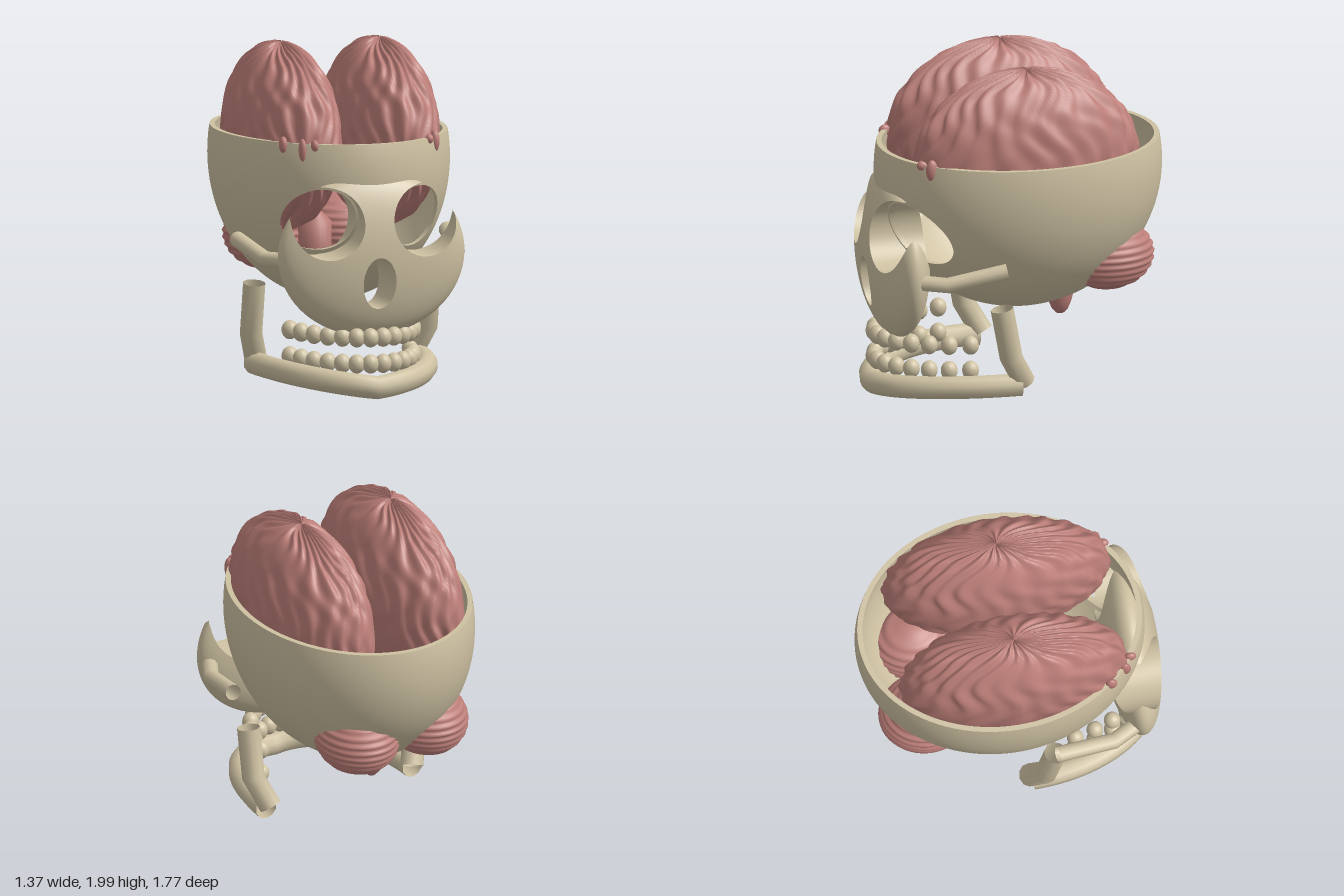
import * as THREE from 'three';

const bone = new THREE.MeshStandardMaterial({ color: 0xcfc2a3, side: THREE.DoubleSide });
bone.name = 'bone';
const flesh = new THREE.MeshStandardMaterial({ color: 0xbd7f79 });
flesh.name = 'brain pink';

const CRANIUM = { c: [0, 1.33, -0.05], r: [0.68, 0.84, 0.84] };
const CRANIUM_IN = { c: CRANIUM.c, r: CRANIUM.r.map((v) => v - 0.03) };
const FACE = { c: [0, 0.845, 0.7], r: [0.565, 0.477, 0.17] };
const CUT_Y = 1.49;

function mesh(geometry, material, name) {
  const m = new THREE.Mesh(geometry, material);
  m.name = name;
  return m;
}

function build(positions, index) {
  const g = new THREE.BufferGeometry();
  g.setAttribute('position', new THREE.Float32BufferAttribute(positions, 3));
  g.setIndex(index);
  g.computeVertexNormals();
  return g;
}

// Pull a point back inside the outline of an ellipsoid, then find its depth
function clampXY({ c, r }, x, y) {
  const k = Math.hypot((x - c[0]) / r[0], (y - c[1]) / r[1]);
  return k > 1 ? [c[0] + (x - c[0]) / k, c[1] + (y - c[1]) / k, 1] : [x, y, k];
}
const depth = ({ r }, k) => r[2] * Math.sqrt(Math.max(0, 1 - k * k));

// Ellipsoid with elliptical holes bored along z; vertices in a hole snap to its rim
function boredEllipsoid(body, { axis = 'y', from = 0, holes, through, inward = false, nu = 128, nv = 72 }) {
  const { c, r } = body, pos = [], marked = [], index = [];
  for (let j = 0; j <= nv; j++) {
    const t = from + (Math.PI - from) * j / nv;
    for (let i = 0; i < nu; i++) {
      const a = i / nu * Math.PI * 2, s = Math.sin(t);
      const d = axis === 'y' ? [s * Math.cos(a), Math.cos(t), s * Math.sin(a)]
        : [s * Math.cos(a), s * Math.sin(a), Math.cos(t)];
      let [x, y, z] = d.map((v, k) => c[k] + v * r[k]);
      let hit = false;
      for (const h of holes) {
        if (!through && d[2] < 0) continue;
        for (let n = 0; n < 8; n++) {
          const e = Math.hypot((x - h.x) / h.rx, (y - h.y) / h.ry);
          if (e >= 0.9999 || e < 1e-6) break;
          hit = true;
          const p = clampXY(body, h.x + (x - h.x) / e, h.y + (y - h.y) / e);
          x = p[0]; y = p[1];
          z = c[2] + Math.sign(d[2]) * depth(body, p[2]);
        }
      }
      pos.push(x, y, z);
      marked.push(hit);
    }
  }
  const P = (i) => new THREE.Vector3().fromArray(pos, i * 3);
  const centre = new THREE.Vector3(...c);
  const tri = (p, q, s) => {
    if (marked[p] && marked[q] && marked[s]) return;
    const A = P(p), n = P(q).sub(A).cross(P(s).sub(A));
    if (n.lengthSq() < 1e-16) return;
    if ((n.dot(A.sub(centre)) < 0) !== inward) index.push(p, s, q);
    else index.push(p, q, s);
  };
  for (let j = 0; j < nv; j++) for (let i = 0; i < nu; i++) {
    const a = j * nu + i, b = j * nu + (i + 1) % nu;
    tri(a, b, a + nu);
    tri(b, b + nu, a + nu);
  }
  return build(pos, index);
}

// Closed band between two loops
function band(loop, n = 96) {
  const pos = [], index = [];
  for (let i = 0; i < n; i++) {
    const [a, b] = loop(i / n * Math.PI * 2);
    pos.push(...a, ...b);
    const p = 2 * i, q = 2 * ((i + 1) % n);
    index.push(p, q, p + 1, q, q + 1, p + 1);
  }
  return build(pos, index);
}

// Side wall of a bored hole from one surface to another
function holeWall(h, front, back, backSign) {
  return band((a) => {
    const [x, y, k] = clampXY(front, h.x + h.rx * Math.cos(a), h.y + h.ry * Math.sin(a));
    const kb = clampXY(back, x, y)[2];
    return [[x, y, front.c[2] + depth(front, k)], [x, y, back.c[2] + backSign * depth(back, kb)]];
  });
}

// Straight-sided path with mitred corners
class Polyline extends THREE.Curve {
  constructor(points) { super(); this.points = points.map((p) => new THREE.Vector3(...p)); }
  getPoint(t) {
    const f = THREE.MathUtils.clamp(t, 0, 1) * (this.points.length - 1);
    const i = Math.min(Math.floor(f), this.points.length - 2);
    return this.points[i].clone().lerp(this.points[i + 1], f - i);
  }
  getPointAt(t) { return this.getPoint(t); }
  getTangentAt(t) { return this.getTangent(t); }
}
const tube = (points, radius) => new THREE.TubeGeometry(new Polyline(points), points.length - 1, radius, 10);

// Ball stretched to radii, each vertex scaled by a rule
function foldedBall(r, nu, nv, rule) {
  const g = new THREE.SphereGeometry(1, nu, nv), p = g.attributes.position, v = new THREE.Vector3();
  for (let i = 0; i < p.count; i++) {
    v.fromBufferAttribute(p, i);
    const k = rule(Math.atan2(v.z, v.x), Math.acos(THREE.MathUtils.clamp(v.y, -1, 1)), v);
    p.setXYZ(i, v.x * r[0] * k, v.y * r[1] * k, v.z * r[2] * k);
  }
  g.computeVertexNormals();
  return g;
}

export function createModel() {
  const model = new THREE.Group();
  const add = (g, m, name, at = [0, 0, 0]) => {
    const o = mesh(g, m, name);
    o.position.set(...at);
    model.add(o);
    return o;
  };

  // Open cranium bowl: outer and inner skin, rim, eye openings
  const eyes = [-1, 1].map((s) => ({ x: 0.29 * s, y: 1.045, rx: 0.185, ry: 0.185 }));
  const cutAngle = (b) => Math.acos((CUT_Y - b.c[1]) / b.r[1]);
  add(boredEllipsoid(CRANIUM, { from: cutAngle(CRANIUM), holes: eyes }), bone, 'craniumOuter');
  add(boredEllipsoid(CRANIUM_IN, { from: cutAngle(CRANIUM_IN), holes: eyes, inward: true }), bone, 'craniumInner');
  add(band((a) => [CRANIUM_IN, CRANIUM].map((b) => {
    const s = Math.sin(cutAngle(b));
    return [s * b.r[0] * Math.cos(a), CUT_Y, b.c[2] + s * b.r[2] * Math.sin(a)];
  })), bone, 'craniumRim');
  eyes.forEach((h) => add(holeWall(h, CRANIUM, CRANIUM_IN, 1), bone, 'craniumEyeWall'));

  // Face plate with eye sockets and nose opening
  const sockets = [-1, 1].map((s) => ({ x: 0.295 * s, y: 1.04, rx: 0.206, ry: 0.206 }));
  const faceHoles = [...sockets, { x: 0, y: 0.69, rx: 0.1, ry: 0.15 }];
  add(boredEllipsoid(FACE, { axis: 'z', holes: faceHoles, through: true, nu: 144, nv: 90 }), bone, 'face');
  faceHoles.forEach((h) => add(holeWall(h, FACE, FACE, -1), bone, 'faceHoleWall'));

  // Cheekbones and jaw branches
  for (const s of [-1, 1]) {
    add(tube([[0.49 * s, 0.82, 0.7], [0.585 * s, 0.815, 0.52], [0.64 * s, 0.89, 0.18]], 0.047), bone, 'cheekbone');
    add(tube([[0.535 * s, 0.63, 0.185], [0.535 * s, 0.33, 0.13], [0.475 * s, 0.165, 0.04]], 0.067), bone, 'jawBranch');
  }

  // Curved lower jaw
  const arch = [];
  for (let i = 0; i <= 32; i++) {
    const a = (i / 32 - 0.5) * Math.PI, x = 0.49 * Math.sin(a);
    arch.push([x, 0.08 + 0.14 * Math.abs(x), 0.06 + 0.755 * Math.cos(a)]);
  }
  add(tube(arch, 0.069), bone, 'lowerJaw');

  // Two rows of teeth
  const tooth = new THREE.SphereGeometry(1, 16, 12).scale(0.049, 0.056, 0.049);
  for (const [y, name] of [[0.37, 'upperTooth'], [0.218, 'lowerTooth']]) {
    for (let i = 0; i < 14; i++) {
      const a = THREE.MathUtils.degToRad(11.5 * (i - 6.5));
      add(tooth, bone, name, [0.38 * Math.sin(a), y, 0.16 + 0.64 * Math.cos(a)]);
    }
  }

  // Brain halves with wavy folds running down from the crown
  const half = foldedBall([0.287, 0.535, 0.655], 160, 80, (a, t) => 1
    + 0.018 * Math.sin(22 * a + 2.2 * Math.sin(5 * t + 2 * a) + 1.4 * Math.sin(3 * a - 7 * t))
    + 0.012 * Math.sin(13 * a + 3 * Math.sin(6 * t) + 1.5) * Math.sin(t));
  for (const s of [-1, 1]) add(half, flesh, 'brainHalf', [0.3 * s, 1.455, -0.02]);

  // Ribbed hindbrain lobes
  const lobe = foldedBall([0.235, 0.21, 0.27], 48, 64, (a, t, v) => 1 + 0.025 * Math.sin(v.y * 32) * Math.sin(t));
  for (const s of [-1, 1]) add(lobe, flesh, 'hindbrainLobe', [0.23 * s, 0.82, -0.52]);

  // Brain stem
  const stem = [[0, 0.4], [0.025, 0.405], [0.048, 0.43], [0.068, 0.48], [0.085, 0.56], [0.1, 0.75], [0.1, 0.9], [0, 1]];
  add(new THREE.LatheGeometry(stem.map((p) => new THREE.Vector2(...p)), 24), flesh, 'brainStem', [0, 0, -0.3]);

  // Folds spilling over the front rim
  const drip = new THREE.SphereGeometry(1, 14, 12);
  for (const [x, y, w, h] of [[-0.475, 1.475, 0.024, 0.05], [-0.39, 1.45, 0.022, 0.07], [-0.33, 1.48, 0.022, 0.035],
    [0.43, 1.465, 0.028, 0.065], [0.38, 1.485, 0.025, 0.03]]) {
    const k = clampXY(CRANIUM, x, y)[2];
    add(drip, flesh, 'spilledFold', [x, y, CRANIUM.c[2] + depth(CRANIUM, k) - 0.012]).scale.set(w, h, 0.035);
  }
  return model;
}
